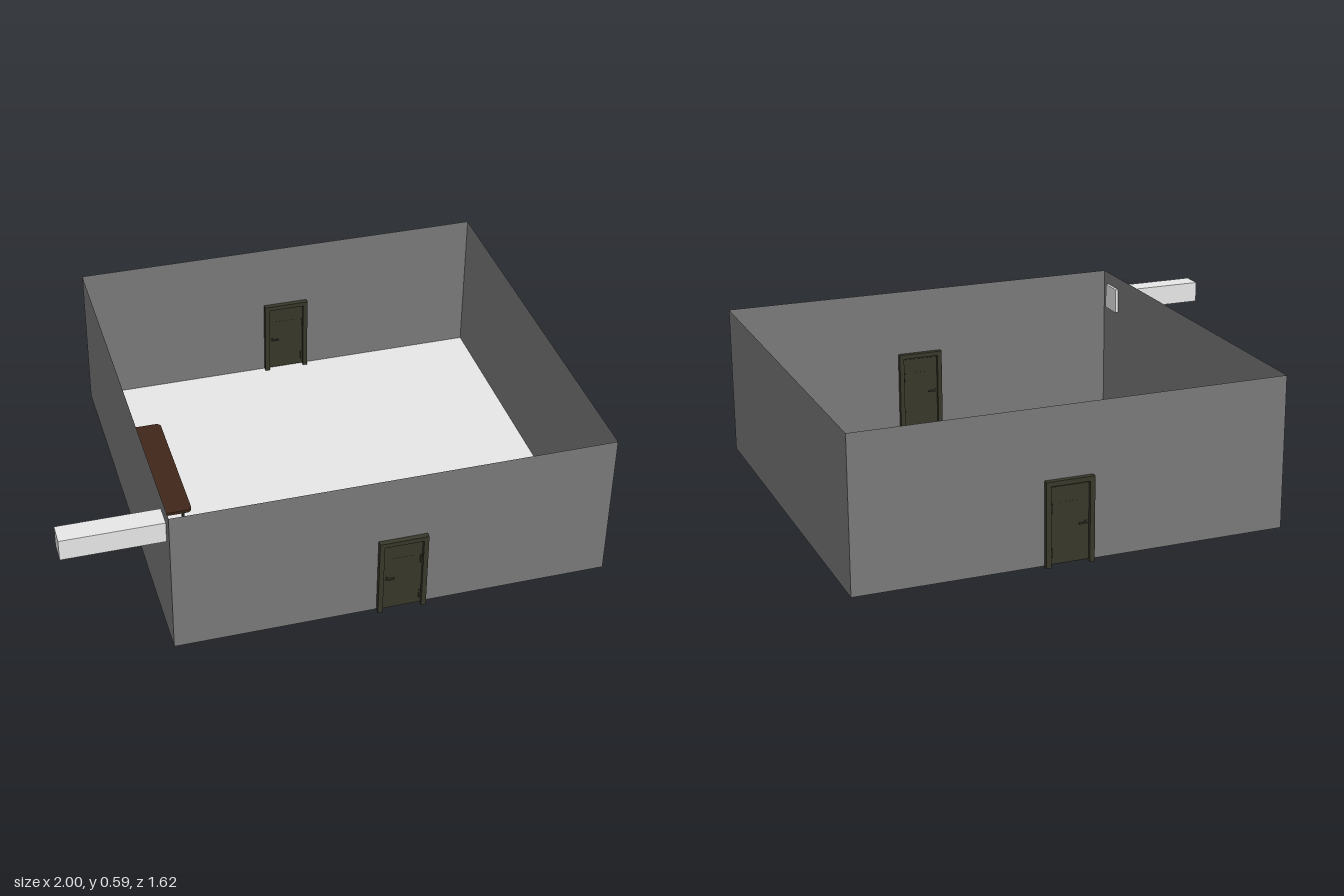
import * as THREE from 'three';

const mat = (name, color, side = THREE.FrontSide) =>
  Object.assign(new THREE.MeshStandardMaterial({ color, side }), { name });

export function createModel() {
  const wallGrey = mat('wall grey', 0x797979, THREE.DoubleSide);
  const paleGrey = mat('pale grey', 0xe7e7e7, THREE.DoubleSide);
  const brown = mat('dark brown', 0x402719);
  const olive = mat('dark olive', 0x38372a);
  const black = mat('leg black', 0x262626);
  const steel = mat('drawer grey', 0x8a8a8a);

  const model = new THREE.Group();
  model.name = 'office';

  // Box given by its min and max on each axis
  function box(parent, name, material, [x0, x1], [y0, y1], [z0, z1]) {
    const mesh = new THREE.Mesh(new THREE.BoxGeometry(x1 - x0, y1 - y0, z1 - z0), material);
    mesh.position.set((x0 + x1) / 2, (y0 + y1) / 2, (z0 + z1) / 2);
    mesh.name = name;
    parent.add(mesh);
  }
  // Thin sheet given by its size, centre and turn
  function sheet(parent, name, material, width, height, centre, turnX, turnY) {
    const mesh = new THREE.Mesh(new THREE.PlaneGeometry(width, height), material);
    mesh.position.set(...centre);
    mesh.rotation.set(turnX, turnY, 0);
    mesh.name = name;
    parent.add(mesh);
  }
  function group(name) {
    const g = new THREE.Group();
    g.name = name;
    model.add(g);
    return g;
  }

  // Open-topped room of thin sheets
  const X0 = -0.63, X1 = 0.998, Z = 0.79, BASE = 0.004, TOP = 0.586;
  const width = X1 - X0, height = TOP - BASE, cx = (X0 + X1) / 2, cy = (BASE + TOP) / 2;
  const room = group('room');
  sheet(room, 'floor', paleGrey, width, 2 * Z, [cx, BASE, 0], -Math.PI / 2, 0);
  sheet(room, 'frontWall', wallGrey, width, height, [cx, cy, Z], 0, 0);
  sheet(room, 'backWall', wallGrey, width, height, [cx, cy, -Z], 0, Math.PI);
  sheet(room, 'leftWall', wallGrey, 2 * Z, height, [X1, cy, 0], 0, Math.PI / 2);
  sheet(room, 'rightWall', wallGrey, 2 * Z, height, [X0, cy, 0], 0, -Math.PI / 2);

  // Air duct through the right wall, with its inner flange
  const duct = group('airDuct');
  box(duct, 'ductBody', paleGrey, [-1, -0.622], [0.446, 0.528], [0.658, 0.739]);
  box(duct, 'ductFlange', paleGrey, [-0.629, -0.618], [0.437, 0.537], [0.648, 0.749]);

  // Doors with frame, hinges and handles on both faces
  function door(name, z) {
    const g = group(name);
    g.position.z = z;
    const depth = [-0.02, 0.02];
    for (const x of [0.118, 0.282]) box(g, 'doorPost', olive, [x, x + 0.018], [0, 0.32], depth);
    box(g, 'doorHeader', olive, [0.136, 0.282], [0.302, 0.32], depth);
    box(g, 'doorLeaf', olive, [0.138, 0.28], [0.01, 0.296], [-0.009, 0.009]);
    box(g, 'doorStop', olive, [0.136, 0.282], [0.008, 0.302], [-0.006, 0.006]);
    for (const s of [-1, 1]) {
      const span = (a, b) => (s > 0 ? [a, b] : [-b, -a]);
      for (const y of [0.035, 0.2]) box(g, 'hinge', olive, [0.273, 0.279], [y, y + 0.035], span(0.008, 0.013));
      box(g, 'handlePlate', olive, [0.145, 0.153], [0.142, 0.157], span(0.008, 0.012));
      box(g, 'handleLever', olive, [0.147, 0.176], [0.147, 0.152], span(0.012, 0.019));
      box(g, 'doorRidge', olive, [0.165, 0.253], [0.235, 0.237], span(0.0085, 0.0095));
    }
  }
  door('frontDoor', Z);
  door('backDoor', -Z);

  // Desk top: a slab with rounded corners
  const desk = group('desk');
  const w = 0.188 / 2, d = 0.556 / 2, r = 0.02;
  const outline = new THREE.Shape();
  outline.absarc(w - r, d - r, r, 0, Math.PI / 2);
  outline.absarc(-w + r, d - r, r, Math.PI / 2, Math.PI);
  outline.absarc(-w + r, -d + r, r, Math.PI, Math.PI * 1.5);
  outline.absarc(w - r, -d + r, r, Math.PI * 1.5, Math.PI * 2);
  const slab = new THREE.ExtrudeGeometry(outline, { depth: 0.012, bevelEnabled: false, curveSegments: 5 });
  slab.rotateX(-Math.PI / 2);
  const top = new THREE.Mesh(slab, brown);
  top.name = 'deskTop';
  top.position.set(-0.532, 0.163, -0.015);
  desk.add(top);

  // Desk legs and rails
  const legXs = [-0.614, -0.466];
  for (const z of [0.23, -0.13, -0.25]) {
    for (const x of legXs) box(desk, 'deskLeg', black, [x - 0.005, x + 0.005], [0, 0.163], [z - 0.005, z + 0.005]);
    box(desk, 'legRail', black, legXs, [0.153, 0.163], [z - 0.004, z + 0.004]);
  }
  for (const x of legXs) box(desk, 'longRail', black, [x - 0.004, x + 0.004], [0.153, 0.163], [-0.25, 0.23]);

  // Drawer pedestal
  box(desk, 'pedestal', steel, [-0.608, -0.468], [0.03, 0.153], [-0.245, -0.135]);
  for (let i = 0; i < 3; i++) {
    const y = 0.034 + i * 0.039;
    box(desk, 'drawerFront', steel, [-0.468, -0.46], [y, y + 0.034], [-0.242, -0.138]);
    box(desk, 'drawerHandle', steel, [-0.46, -0.455], [y + 0.016, y + 0.021], [-0.207, -0.173]);
  }
  return model;
}
